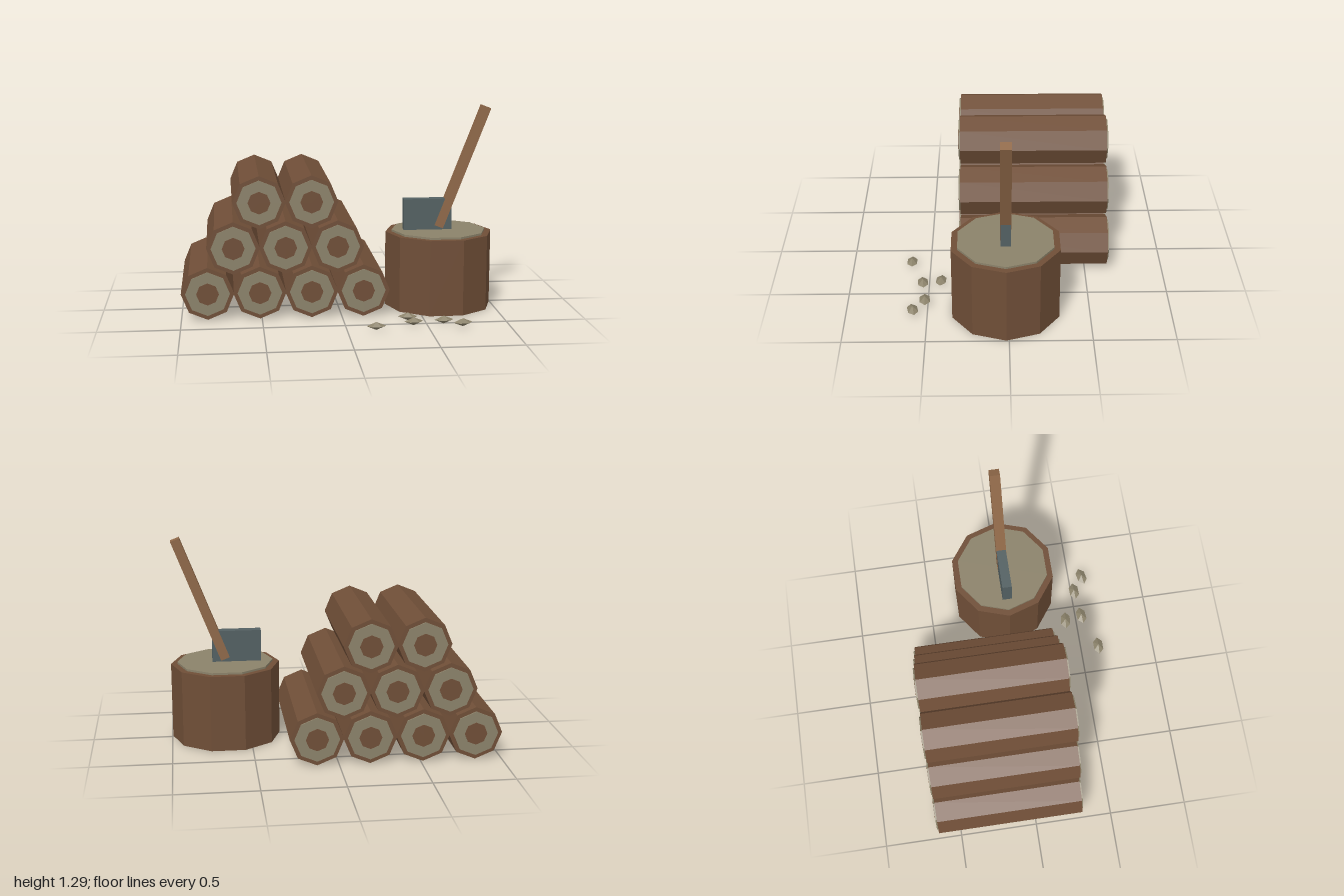
import * as THREE from 'three';

const mat = (name, color) => {
  const m = new THREE.MeshStandardMaterial({ color, flatShading: true });
  m.name = name;
  return m;
};

export function createModel() {
  const bark = mat('bark brown', 0x6f4e37);
  const cutWood = mat('cut wood', 0x8b826a);
  const handleWood = mat('handle wood', 0x8f6848);
  const steel = mat('axe steel', 0x536062);

  const root = new THREE.Group();
  root.name = 'woodpile';

  const add = (parent, name, geometry, material, x = 0, y = 0, z = 0) => {
    const mesh = new THREE.Mesh(geometry, material);
    mesh.name = name;
    mesh.position.set(x, y, z);
    parent.add(mesh);
    return mesh;
  };

  // Octagonal log lying along z; longer, thinner cores show as end rings
  const logGeo = (r, length) => new THREE.CylinderGeometry(r, r, length, 8).rotateX(Math.PI / 2);
  const barkGeo = logGeo(0.165, 0.942);
  const ringGeo = logGeo(0.138, 0.962);
  const heartGeo = logGeo(0.07, 0.97);

  // Stacked rows of 4, 3 and 2 logs
  const pitch = 0.3235;
  const rows = [4, 3, 2];
  rows.forEach((count, row) => {
    for (let i = 0; i < count; i++) {
      const log = new THREE.Group();
      log.name = 'log';
      const x = row < 2 ? -0.836 + pitch * (i + row / 2) : -0.836 + pitch * (i + 1);
      log.position.set(x, 0.168 + row * 0.2835, -0.17);
      add(log, 'logBark', barkGeo, bark);
      add(log, 'logEndRing', ringGeo, cutWood);
      add(log, 'logHeart', heartGeo, bark);
      root.add(log);
    }
  });

  // Ten-sided chopping block
  const block = new THREE.Group();
  block.name = 'choppingBlock';
  block.position.set(0.652, 0, 0.018);
  const disc = (r, h) => new THREE.CylinderGeometry(r, r, h, 10).rotateY(Math.PI / 2);
  add(block, 'blockBark', disc(0.344, 0.482), bark, 0, 0.241, 0);
  add(block, 'blockTop', disc(0.304, 0.02), cutWood, 0, 0.485, 0);
  root.add(block);

  // Axe stuck in the block
  const axe = new THREE.Group();
  axe.name = 'axe';
  axe.position.z = 0.018;
  add(axe, 'axeHead', new THREE.BoxGeometry(0.31, 0.215, 0.062), steel, 0.578, 0.5875, 0);
  const handle = add(axe, 'axeHandle', new THREE.BoxGeometry(0.059, 0.828, 0.066), handleWood, 0.8, 0.898, 0);
  handle.rotation.z = -0.37;
  root.add(axe);

  // Flattened wood chips on the ground: x, z, turn
  const chipGeo = new THREE.SphereGeometry(1, 6, 2).scale(0.06, 0.025, 0.036);
  const chips = [[0.175, 0.62, 0], [0.395, 0.425, -0.1], [0.415, 0.54, 0.1], [0.605, 0.52, 0.05], [0.71, 0.59, 0.2]];
  for (const [x, z, turn] of chips) {
    add(root, 'woodChip', chipGeo, cutWood, x, 0.028, z).rotation.y = turn;
  }

  return root;
}
